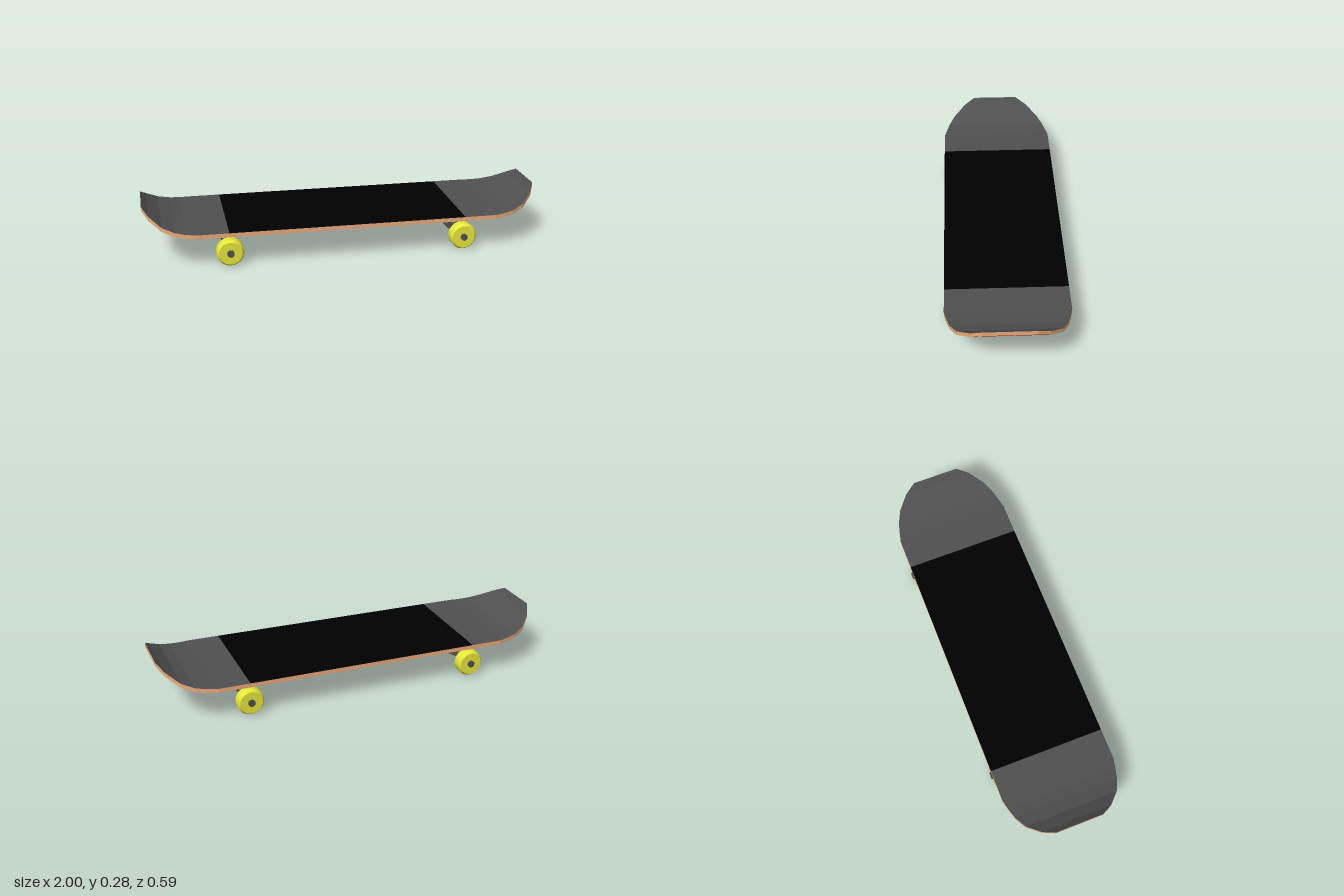
import * as THREE from 'three';

const mat = (name, color) => new THREE.MeshStandardMaterial({ name, color });

// Flat-shaded ribbon between two point rows; its normal is (along a) x (a to b)
function strip(a, b) {
  const p = [];
  for (let i = 0; i + 1 < a.length; i++) {
    p.push(...a[i], ...a[i + 1], ...b[i + 1], ...a[i], ...b[i + 1], ...b[i]);
  }
  const g = new THREE.BufferGeometry();
  g.setAttribute('position', new THREE.Float32BufferAttribute(p, 3));
  g.computeVertexNormals();
  return g;
}

function faceted(geometry) {
  const g = geometry.toNonIndexed();
  g.computeVertexNormals();
  return g;
}

export function createModel() {
  const model = new THREE.Group();
  model.name = 'skateboard';
  const wood = mat('maple wood', 0xeaac7c);
  const stain = mat('red-brown stain', 0xe85006);
  const grip = mat('black grip', 0x000000);
  const metal = mat('dark grey', 0x505050);
  const yellow = mat('yellow urethane', 0xeaea3c);

  function add(parent, name, geometry, material, x = 0, y = 0, z = 0) {
    const m = new THREE.Mesh(geometry, material);
    m.name = name;
    m.position.set(x, y, z);
    parent.add(m);
    return m;
  }

  // Deck stations: x, half width, underside height
  const half = [
    [0.59, 0.294, 0.154], [0.75, 0.294, 0.154], [0.8, 0.282, 0.157], [0.85, 0.268, 0.164],
    [0.91, 0.238, 0.184], [0.97, 0.178, 0.225], [1, 0.12, 0.256],
  ];
  const stations = [...half.map(([x, w, y]) => [-x, w, y]).reverse(), ...half];
  const thick = 0.021;
  const row = (list, side, lift) => list.map(([x, w, y]) => [x, y + lift, w * side]);
  const n = half.length;
  const deck = new THREE.Group();
  deck.name = 'deck';
  model.add(deck);
  const topPart = (name, list, material) =>
    add(deck, name, strip(row(list, 1, thick), row(list, -1, thick)), material);
  topPart('rightKickTop', stations.slice(0, n), metal);
  topPart('centreGrip', stations.slice(n - 1, n + 1), grip);
  topPart('leftKickTop', stations.slice(n), metal);
  add(deck, 'deckUnderside', strip(row(stations, -1, 0), row(stations, 1, 0)), stain);
  const rim = (lift) => {
    const front = row(stations, 1, lift);
    return [...front, ...row(stations, -1, lift).reverse(), front[0]];
  };
  add(deck, 'deckEdge', strip(rim(0), rim(thick)), wood);

  // Hanger sections: z, bottom, top, half depth
  const right = [
    [0.03, 0.04, 0.112, 0.025], [0.083, 0.04, 0.095, 0.022],
    [0.14, 0.05, 0.082, 0.015], [0.178, 0.058, 0.078, 0.01],
  ];
  const sections = [...right.map(([z, b, t, d]) => [-z, b, t, d]).reverse(), ...right];
  const corners = [[-1, 0], [-1, 1], [1, 1], [1, 0]];
  const hangerRow = ([sx, top]) => sections.map(([z, b, t, d]) => [sx * d, top ? t : b, z]);

  // Flat-faced wheel with chamfered rims
  const wheelGeometry = faceted(new THREE.LatheGeometry([
    [0, -0.0325], [0.057, -0.0325], [0.067, -0.0185],
    [0.067, 0.0185], [0.057, 0.0325], [0, 0.0325],
  ].map(([r, y]) => new THREE.Vector2(r, y)), 32));
  const axleGeometry = new THREE.CylinderGeometry(0.009, 0.009, 0.56, 12);
  const nutGeometry = faceted(new THREE.CylinderGeometry(0.018, 0.018, 0.02, 12));

  for (const x of [-0.587, 0.587]) {
    const truck = new THREE.Group();
    truck.name = x < 0 ? 'rightTruck' : 'leftTruck';
    truck.position.x = x;
    model.add(truck);
    add(truck, 'basePlate', new THREE.BoxGeometry(0.074, 0.01, 0.14), metal, 0, 0.15, 0);
    add(truck, 'pedestal', new THREE.BoxGeometry(0.066, 0.038, 0.09), metal, 0, 0.129, 0);

    // Tapered hanger, closed at both tips
    const hanger = new THREE.Group();
    hanger.name = 'hanger';
    truck.add(hanger);
    corners.forEach((c, i) => {
      add(hanger, 'hangerSide', strip(hangerRow(c), hangerRow(corners[(i + 1) % 4])), metal);
    });
    for (const s of [-1, 1]) {
      add(hanger, 'hangerTip', new THREE.BoxGeometry(0.02, 0.02, 0.002), metal, 0, 0.068, s * 0.177);
    }

    add(truck, 'axle', axleGeometry, metal, 0, 0.067, 0).rotation.x = Math.PI / 2;
    for (const s of [-1, 1]) {
      add(truck, 'wheel', wheelGeometry, yellow, 0, 0.067, s * 0.2555).rotation.x = Math.PI / 2;
      add(truck, 'axleNut', nutGeometry, metal, 0, 0.067, s * 0.286).rotation.x = Math.PI / 2;
    }
  }
  return model;
}
